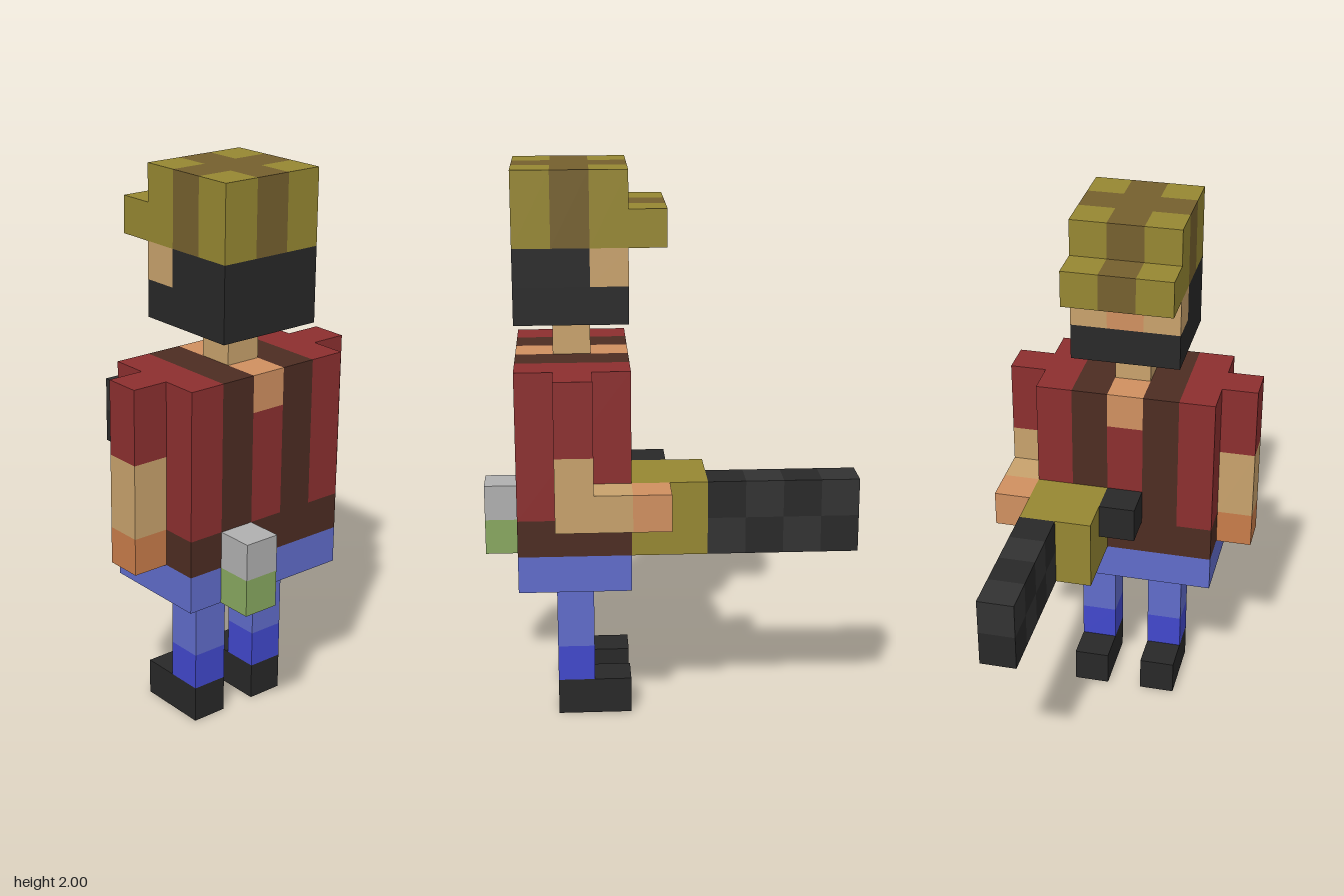
import * as THREE from 'three';

const U = 2 / 15; // edge of one cube

const mats = {};
for (const [name, color] of Object.entries({
  olive: 0x968732, brown: 0x75602e, red: 0x8c2f2f, leather: 0x4d2c22,
  skin: 0xc8a26c, blush: 0xd09060, tan: 0xc87c4a, denim: 0x606cca,
  cuff: 0x4148cc, black: 0x282828, steel: 0x323232, grey: 0xb0b0b0, green: 0x88a860,
})) mats[name] = new THREE.MeshStandardMaterial({ color, flatShading: true });

// Block from first to last cube, inclusive. x cubes are centred on 0;
// y and z cubes start at their index.
function block(parent, name, mat, [x0, x1], [y0, y1], [z0, z1]) {
  const geo = new THREE.BoxGeometry((x1 - x0 + 1) * U, (y1 - y0 + 1) * U, (z1 - z0 + 1) * U);
  const mesh = new THREE.Mesh(geo, mats[mat]);
  mesh.position.set((x0 + x1) / 2 * U, (y0 + y1 + 1) / 2 * U, (z0 + z1 + 1) / 2 * U);
  mesh.name = name;
  parent.add(mesh);
}

function part(root, name) {
  const g = new THREE.Group();
  g.name = name;
  root.add(g);
  return g;
}

export function createModel() {
  const root = new THREE.Group();
  root.name = 'blockFigure';

  // Legs and boots
  const legs = part(root, 'legs');
  for (const x of [-1, 1]) {
    block(legs, 'boot', 'black', [x, x], [0, 0], [1, 2]);
    block(legs, 'trouserCuff', 'cuff', [x, x], [1, 1], [2, 2]);
    block(legs, 'trouserLeg', 'denim', [x, x], [2, 3], [2, 2]);
  }

  // Torso: hips, belt, shirt with two straps, open collar
  const torso = part(root, 'torso');
  block(torso, 'hips', 'denim', [-2, 2], [4, 4], [1, 3]);
  block(torso, 'belt', 'leather', [-2, 2], [5, 5], [1, 3]);
  for (const s of [-1, 1]) {
    block(torso, 'strap', 'leather', [s, s], [6, 9], [1, 3]);
    block(torso, 'shirtSide', 'red', [2 * s, 2 * s], [6, 9], [1, 3]);
  }
  block(torso, 'shirtCentre', 'red', [0, 0], [6, 8], [1, 3]);
  block(torso, 'collar', 'blush', [0, 0], [9, 9], [1, 3]);
  block(torso, 'neck', 'skin', [0, 0], [10, 10], [2, 2]);

  // Canister hanging on the belt
  const canister = part(root, 'canister');
  block(canister, 'canisterBody', 'green', [-1, -1], [4, 4], [4, 4]);
  block(canister, 'canisterLid', 'grey', [-1, -1], [5, 5], [4, 4]);

  // Arms: one hanging, one bent around the launcher
  const arms = part(root, 'arms');
  for (const x of [-3, 3]) {
    block(arms, 'sleeve', 'red', [x, x], [8, 9], [2, 2]);
    block(arms, 'upperArm', 'skin', [x, x], [6, 7], [2, 2]);
  }
  block(arms, 'hangingHand', 'tan', [-3, -3], [5, 5], [2, 2]);
  block(arms, 'forearm', 'skin', [3, 3], [6, 6], [1, 1]);
  block(arms, 'grippingHand', 'blush', [3, 3], [6, 6], [0, 0]);

  // Launcher: olive body, side knob and chequered barrel
  const launcher = part(root, 'launcher');
  block(launcher, 'launcherBody', 'olive', [1, 2], [5, 6], [-1, 0]);
  block(launcher, 'launcherKnob', 'black', [0, 0], [6, 6], [0, 0]);
  for (let z = -5; z <= -2; z++)
    for (const y of [5, 6])
      block(launcher, 'barrelSegment', (z + y) % 2 ? 'steel' : 'black', [2, 2], [y, y], [z, z]);

  // Head: beard, hair and face
  const head = part(root, 'head');
  block(head, 'beard', 'black', [-1, 1], [11, 11], [1, 3]);
  block(head, 'hair', 'black', [-1, 1], [12, 12], [2, 3]);
  for (const x of [-1, 0, 1])
    block(head, 'face', x ? 'skin' : 'blush', [x, x], [12, 12], [1, 1]);

  // Cap: olive corners, brown cross, brim
  const cap = part(root, 'cap');
  for (const x of [-1, 0, 1]) {
    for (const z of [1, 2, 3])
      block(cap, 'capPanel', x === 0 || z === 2 ? 'brown' : 'olive', [x, x], [13, 14], [z, z]);
    block(cap, 'brim', x ? 'olive' : 'brown', [x, x], [13, 13], [0, 0]);
  }

  return root;
}
